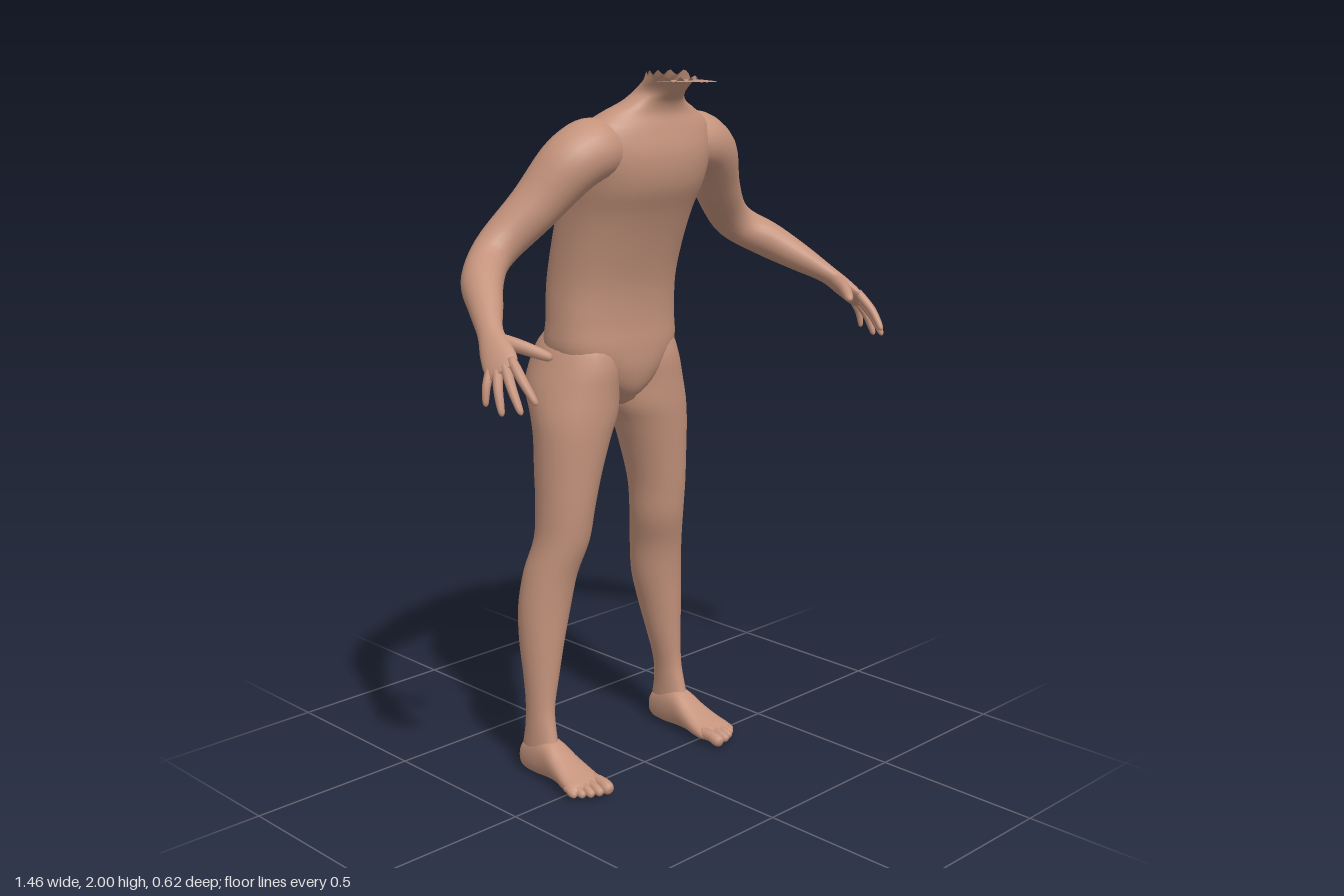
import * as THREE from 'three';

const skin = new THREE.MeshStandardMaterial({ color: 0xc4937c, side: THREE.DoubleSide });
skin.name = 'skin';

const V = (x, y, z) => new THREE.Vector3(x, y, z);

// Ellipse ring: centre c, half axes u and v (u x v points along the loft).
function ring(c, u, v, n, power = 1) {
  const soft = (k) => Math.sign(k) * Math.abs(k) ** power;
  return Array.from({ length: n }, (_, j) => {
    const a = (j / n) * Math.PI * 2;
    return c.clone().addScaledVector(u, soft(Math.cos(a))).addScaledVector(v, soft(Math.sin(a)));
  });
}

// Smooth skin through a list of rings, with optional end caps and a vertex rule.
function loft(rings, { steps = 4, capStart = true, capEnd = true, rule } = {}) {
  const n = rings[0].length;
  const rows = (rings.length - 1) * steps;
  const curves = rings[0].map((_, j) => new THREE.CatmullRomCurve3(rings.map((r) => r[j])));
  const pos = [], index = [];
  for (let i = 0; i <= rows; i++) {
    for (const curve of curves) {
      const p = curve.getPoint(i / rows);
      if (rule) rule(p);
      pos.push(p.x, p.y, p.z);
    }
  }
  for (let i = 0; i < rows; i++) {
    for (let j = 0; j < n; j++) {
      const a = i * n + j, b = i * n + (j + 1) % n;
      index.push(a, b, a + n, b, b + n, a + n);
    }
  }
  const cap = (row, flip) => {
    const r = rings[row ? rings.length - 1 : 0];
    const c = r.reduce((s, p) => s.add(p), V(0, 0, 0)).divideScalar(n);
    const k = pos.length / 3;
    pos.push(c.x, c.y, c.z);
    for (let j = 0; j < n; j++) {
      const a = row * n + j, b = row * n + (j + 1) % n;
      if (flip) index.push(k, b, a); else index.push(k, a, b);
    }
  };
  if (capStart) cap(0, true);
  if (capEnd) cap(rows, false);
  const g = new THREE.BufferGeometry();
  g.setAttribute('position', new THREE.Float32BufferAttribute(pos, 3));
  g.setIndex(index);
  g.computeVertexNormals();
  return g;
}

// Limb along points [x, y, z, halfWidth, halfThickness]; ref is the thickness direction.
function limb(pts, ref, n = 12, steps = 4) {
  const at = (i) => V(...pts[Math.min(Math.max(i, 0), pts.length - 1)].slice(0, 3));
  return loft(pts.map((p, i) => {
    const d = at(i + 1).sub(at(i - 1)).normalize();
    const v = ref.clone().addScaledVector(d, -ref.dot(d)).normalize();
    const u = v.clone().cross(d);
    return ring(at(i), u.multiplyScalar(p[3]), v.multiplyScalar(p[4] ?? p[3]), n);
  }), { steps });
}

function mirrored(g) {
  const m = g.clone().scale(-1, 1, 1);
  const idx = m.index.array;
  for (let i = 0; i < idx.length; i += 3) [idx[i], idx[i + 1]] = [idx[i + 1], idx[i]];
  m.computeVertexNormals();
  return m;
}

export function createModel() {
  const model = new THREE.Group();
  model.name = 'bodyFigure';
  const add = (name, g) => {
    const mesh = new THREE.Mesh(g, skin);
    mesh.name = name;
    model.add(mesh);
  };
  const addPair = (name, g) => {
    add(`left${name}`, g);
    add(`right${name}`, mirrored(g));
  };

  // Torso and open neck: y, half width, front z, back z
  const torso = [
    [1.07, 0.02, -0.1, -0.16], [1.11, 0.07, -0.035, -0.2], [1.17, 0.16, -0.01, -0.25],
    [1.24, 0.205, -0.005, -0.275], [1.32, 0.205, -0.008, -0.265], [1.42, 0.2, 0.002, -0.268],
    [1.52, 0.2, 0.03, -0.25], [1.62, 0.204, 0.068, -0.222], [1.7, 0.213, 0.105, -0.19],
    [1.78, 0.222, 0.115, -0.15], [1.85, 0.212, 0.1, -0.105], [1.89, 0.165, 0.09, -0.065],
    [1.92, 0.1, 0.1, -0.035], [1.945, 0.068, 0.125, -0.015], [1.985, 0.072, 0.163, 0.04],
  ];
  add('torso', loft(torso.map(([y, w, f, b]) =>
    ring(V(0, y, (f + b) / 2), V(0, 0, (f - b) / 2), V(w, 0, 0), 48, y > 1.2 && y < 1.88 ? 0.85 : 1)), {
    capEnd: false,
    rule: (p) => {
      // Spine groove
      if (p.z < -0.06 && p.y < 1.85) p.z += 0.014 * Math.exp(-((p.x / 0.03) ** 2));
      // Ragged neck rim
      if (p.y > 1.984) p.y += 0.007 * Math.sin(Math.atan2(p.x, p.z - 0.1) * 11) + (p.z < 0.1 ? 0.008 : -0.006);
    },
  }));

  // Ragged flap at the front of the neck
  const flap = new THREE.Shape();
  const edge = [];
  for (let i = 0; i <= 24; i++) {
    const t = i / 24;
    const w = 0.068 * Math.sqrt(1 - t ** 3) * (1 - 0.38 * t) + (i % 2 && i < 24 ? 0.004 : 0);
    edge.push(new THREE.Vector2(w, 0.115 + 0.137 * t));
  }
  flap.setFromPoints([...edge, ...edge.slice(0, -1).reverse().map((p) => new THREE.Vector2(-p.x, p.y))]);
  const flapGeo = new THREE.ShapeGeometry(flap).rotateX(-Math.PI / 2).scale(1, 1, -1);
  const flapIdx = flapGeo.index.array;
  for (let i = 0; i < flapIdx.length; i += 3) [flapIdx[i], flapIdx[i + 1]] = [flapIdx[i + 1], flapIdx[i]];
  flapGeo.translate(0, 1.976, 0);
  flapGeo.computeVertexNormals();
  add('neckFlap', flapGeo);

  // Legs with buttocks: y, inner x, outer x, front z, back z
  const leg = [
    [1.33, 0.05, 0.14, -0.08, -0.22], [1.26, 0.01, 0.2, -0.03, -0.283], [1.2, 0, 0.225, -0.016, -0.306],
    [1.13, 0.002, 0.248, -0.018, -0.308], [1.06, 0.012, 0.26, -0.02, -0.268], [1, 0.04, 0.262, -0.025, -0.246],
    [0.9, 0.075, 0.262, -0.035, -0.235], [0.8, 0.1, 0.262, -0.045, -0.225], [0.7, 0.112, 0.266, -0.06, -0.226],
    [0.6, 0.135, 0.287, -0.088, -0.248], [0.5, 0.15, 0.3, -0.103, -0.256], [0.4, 0.175, 0.302, -0.11, -0.246],
    [0.3, 0.2, 0.298, -0.115, -0.227], [0.2, 0.225, 0.295, -0.115, -0.214], [0.13, 0.231, 0.297, -0.1, -0.218],
    [0.07, 0.232, 0.298, -0.085, -0.228], [0.03, 0.24, 0.29, -0.1, -0.22],
  ];
  addPair('Leg', loft(leg.map(([y, a, b, f, k]) =>
    ring(V((a + b) / 2, y, (f + k) / 2), V((b - a) / 2, 0, 0), V(0, 0, (f - k) / 2), 28))));

  // Feet: z, inner x, outer x, bottom y, top y
  const foot = [
    [-0.237, 0.253, 0.277, 0.025, 0.05], [-0.222, 0.238, 0.292, 0.006, 0.085], [-0.17, 0.226, 0.302, 0, 0.115],
    [-0.11, 0.22, 0.306, 0.004, 0.12], [-0.05, 0.212, 0.315, 0.008, 0.086], [0, 0.206, 0.325, 0.004, 0.06],
    [0.035, 0.207, 0.329, 0.006, 0.045], [0.052, 0.22, 0.318, 0.014, 0.034],
  ];
  addPair('Foot', loft(foot.map(([z, a, b, lo, hi]) =>
    ring(V((a + b) / 2, (lo + hi) / 2, z), V((b - a) / 2, 0, 0), V(0, (hi - lo) / 2, 0), 24, 0.85))));

  // Toes: x, tip z, radius
  [[0.226, 0.096, 0.018], [0.257, 0.092, 0.013], [0.281, 0.082, 0.0125], [0.302, 0.068, 0.012], [0.32, 0.052, 0.011]]
    .forEach(([x, z, r], i) => addPair(`Toe${i + 1}`, limb([
      [x, 0.028, 0.01, r], [x, 0.028, z - 0.035, r], [x + 0.002, 0.021, z - 0.014, r * 1.05],
      [x + 0.002, 0.018, z - 0.003, r * 0.75], [x + 0.002, 0.017, z, r * 0.3],
    ], V(0, 1, 0), 10, 3)));

  // Arms running into the palms
  const backOfHand = V(0.79, 0.55, 0.23).normalize();
  addPair('Arm', limb([
    [0.13, 1.8, 0.01, 0.07, 0.07], [0.19, 1.803, 0.003, 0.088, 0.08], [0.258, 1.768, -0.012, 0.086, 0.08],
    [0.35, 1.655, -0.06, 0.07, 0.066], [0.46, 1.546, -0.093, 0.057, 0.056], [0.545, 1.487, -0.035, 0.056, 0.052],
    [0.6, 1.435, 0.045, 0.044, 0.04], [0.645, 1.388, 0.115, 0.034, 0.026], [0.665, 1.355, 0.157, 0.043, 0.023],
    [0.68, 1.325, 0.195, 0.046, 0.017], [0.686, 1.312, 0.212, 0.036, 0.01],
  ], backOfHand, 24, 5));

  // Fingers: name, base, tip, base radius
  const fingers = [
    ['Thumb', V(0.645, 1.378, 0.143), V(0.572, 1.338, 0.26), 0.019],
    ['IndexFinger', V(0.665, 1.335, 0.222), V(0.664, 1.244, 0.306), 0.0135],
    ['MiddleFinger', V(0.677, 1.326, 0.207), V(0.695, 1.222, 0.285), 0.0135],
    ['RingFinger', V(0.688, 1.318, 0.19), V(0.716, 1.214, 0.238), 0.013],
    ['LittleFinger', V(0.697, 1.312, 0.172), V(0.722, 1.23, 0.184), 0.0115],
  ];
  for (const [name, base, tip, r] of fingers) {
    const stations = [[-0.1, 0.9], [0.15, 1], [0.5, 0.92], [0.85, 0.72], [0.96, 0.52], [1, 0.2]];
    addPair(name, limb(stations.map(([t, k]) => {
      const p = base.clone().lerp(tip, t).addScaledVector(backOfHand, 0.008 * Math.sin(Math.PI * Math.max(t, 0)));
      return [p.x, p.y, p.z, r * k];
    }), backOfHand, 10, 3));
  }

  return model;
}
